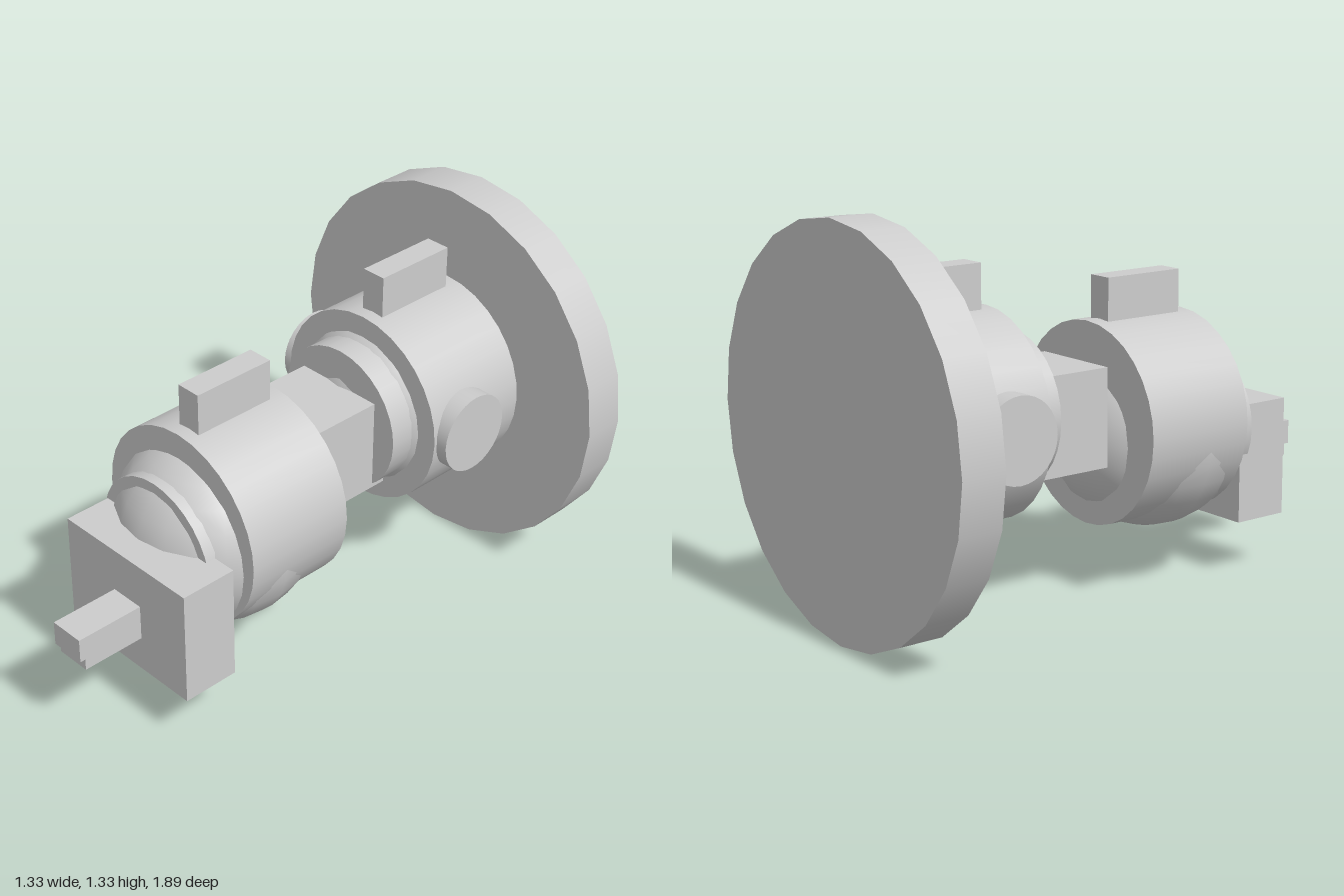
import * as THREE from 'three';

export function createModel() {
  const model = new THREE.Group();
  model.name = 'jointedWallMount';
  const grey = new THREE.MeshStandardMaterial({ color: 0xcccccc });
  grey.name = 'light grey';
  const CX = -0.028; // shared axis of the round parts

  function add(name, geometry, x, y, z) {
    const mesh = new THREE.Mesh(geometry, grey);
    mesh.name = name;
    mesh.position.set(x, y, z);
    model.add(mesh);
    return mesh;
  }
  // Box given by its limits on each axis
  const box = (name, [x0, x1], [y0, y1], [z0, z1]) =>
    add(name, new THREE.BoxGeometry(x1 - x0, y1 - y0, z1 - z0),
      (x0 + x1) / 2, (y0 + y1) / 2, (z0 + z1) / 2);
  // Round part running along z
  const drum = (name, radius, y, z0, z1, sides) =>
    add(name, new THREE.CylinderGeometry(radius, radius, z1 - z0, sides).rotateX(Math.PI / 2),
      CX, y, (z0 + z1) / 2);
  const ball = (name, radius, y, z) =>
    add(name, new THREE.SphereGeometry(radius, 20, 14), CX, y, z);

  // Wall disc
  drum('wallDisc', 0.667, 1.011, -0.972, -0.82, 24);

  // Rear joint: housing, ball, collar, fin and side knobs
  drum('rearHousing', 0.346, 1.01, -0.82, -0.409, 32);
  ball('rearBall', 0.335, 1.01, -0.605);
  drum('rearCollar', 0.256, 1.01, -0.4, -0.305, 32);
  box('rearFin', [-0.075, 0.015], [1.3, 1.5], [-0.768, -0.458]);
  for (const side of [-1, 1]) {
    const knob = add('sideKnob', new THREE.CylinderGeometry(0.14, 0.14, 0.12, 32),
      CX + side * 0.326, 1.01, -0.56);
    knob.rotation.z = Math.PI / 2;
  }

  // Neck between the joints
  box('neck', [-0.197, 0.137], [0.8, 1.134], [-0.36, -0.048]);

  // Front joint: the ball sits low in its housing
  drum('frontHousing', 0.346, 0.912, -0.002, 0.407, 32);
  ball('frontBall', 0.34, 0.865, 0.255);
  drum('frontCollar', 0.256, 0.865, 0.42, 0.512, 32);
  box('frontFin', [-0.075, 0.015], [1.2, 1.4], [0.053, 0.358]);

  // Head block with a stepped nozzle
  box('headBlock', [-0.266, 0.299], [0.534, 0.944], [0.475, 0.678]);
  box('nozzle', [-0.041, 0.084], [0.661, 0.787], [0.66, 0.903]);
  box('nozzleTip', [-0.041, 0.084], [0.702, 0.787], [0.903, 0.922]);

  return model;
}
